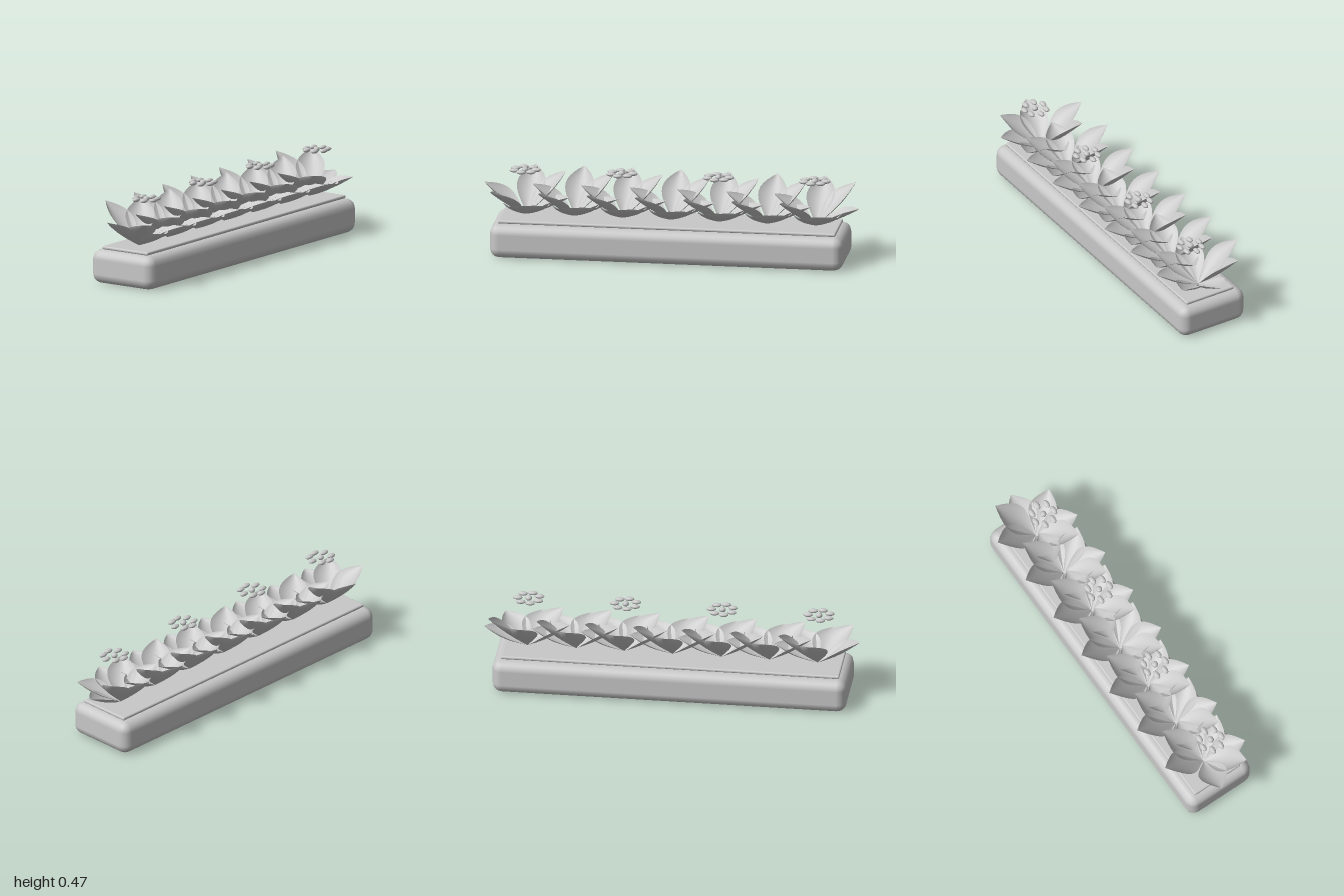
import * as THREE from 'three';
import { RoundedBoxGeometry } from 'three/addons/geometries/RoundedBoxGeometry.js';
import { ParametricGeometry } from 'three/addons/geometries/ParametricGeometry.js';

const REACH = 0.232; // horizontal reach of every leaf
const GOLDEN = THREE.MathUtils.degToRad(137.5);

// Pointed, cupped leaf running along +x, its tip lifted by rise
function leafGeometry(rise) {
  const tilt = Math.atan2(rise, REACH);
  return new ParametricGeometry((u, v, p) => {
    const s = 2 * v - 1;
    const bulge = Math.sin(Math.PI * Math.pow(u, 1.2));
    const along = u * Math.hypot(REACH, rise);
    const lift = 0.034 * bulge * s * s - 0.008 * Math.sin(Math.PI * u);
    p.set(
      along * Math.cos(tilt) - lift * Math.sin(tilt),
      along * Math.sin(tilt) + lift * Math.cos(tilt),
      -0.076 * bulge * s
    );
  }, 12, 8);
}

export function createModel() {
  const model = new THREE.Group();
  model.name = 'flowerPlanter';
  const grey = new THREE.MeshStandardMaterial({ color: 0xc8c8c8, side: THREE.DoubleSide });
  grey.name = 'light grey';

  const add = (parent, name, geometry, x, y, z) => {
    const mesh = new THREE.Mesh(geometry, grey);
    mesh.name = name;
    mesh.position.set(x, y, z);
    parent.add(mesh);
    return mesh;
  };

  // Trough and soil slab
  add(model, 'trough', new RoundedBoxGeometry(1.875, 0.182, 0.398, 2, 0.052), -0.002, 0.092, 0.004);
  add(model, 'soil', new RoundedBoxGeometry(1.79, 0.018, 0.294, 2, 0.008), -0.003, 0.191, 0.005);

  // Seven plants, each a spiral of leaves at three steepnesses
  const leaves = [0.1, 0.155, 0.21].map(leafGeometry);
  for (let i = 0; i < 7; i++) {
    const plant = new THREE.Group();
    plant.name = 'plant';
    plant.position.set((i - 3) * 0.256, 0.199, 0.003);
    for (let k = 0; k < 7; k++) {
      add(plant, 'leaf', leaves[k % 3], 0, 0, 0).rotation.y = -k * GOLDEN;
    }
    model.add(plant);
  }

  // Blossoms above every second plant
  const petal = new THREE.SphereGeometry(1, 10, 8).scale(0.026, 0.011, 0.015);
  const heart = new THREE.SphereGeometry(1, 10, 8).scale(0.018, 0.014, 0.017);
  for (let i = 0; i < 4; i++) {
    const flower = new THREE.Group();
    flower.name = 'flower';
    flower.position.set((i - 1.5) * 0.512, 0.455, 0.05);
    add(flower, 'flowerHeart', heart, 0, 0, 0);
    for (let k = 0; k < 7; k++) {
      const a = (k / 7) * Math.PI * 2;
      add(flower, 'petal', petal, 0.059 * Math.cos(a), 0, 0.059 * Math.sin(a));
    }
    model.add(flower);
  }
  return model;
}
